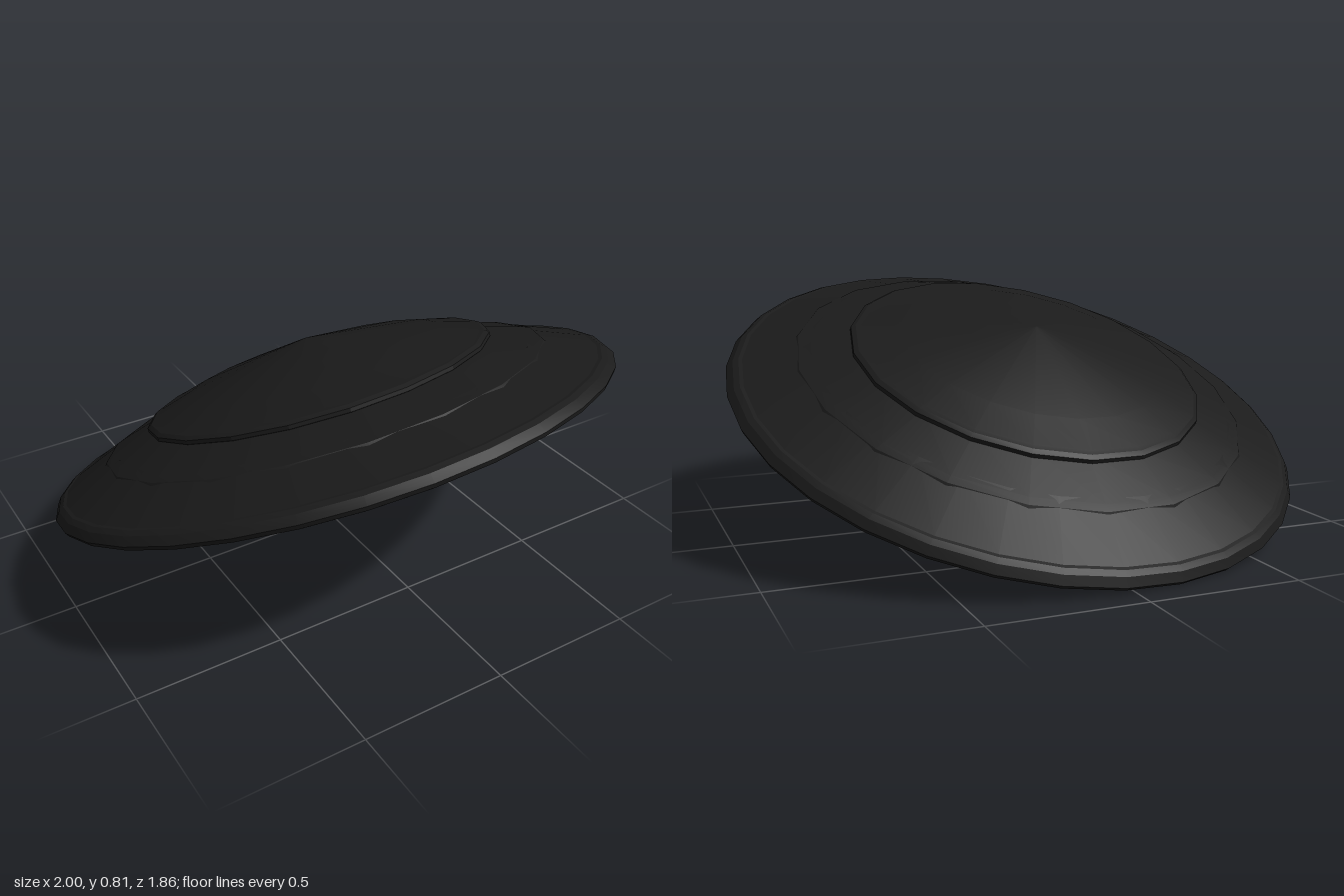
import * as THREE from 'three';
import { toCreasedNormals } from 'three/addons/utils/BufferGeometryUtils.js';

const ironBlack = new THREE.MeshStandardMaterial({ color: 0x1b1b1b });
ironBlack.name = 'ironBlack';

function addMesh(parent, name, geometry, crease = 0.3) {
  const mesh = new THREE.Mesh(toCreasedNormals(geometry, crease), ironBlack);
  mesh.name = name;
  parent.add(mesh);
}

// Turned part around the shield axis; profile is [radius, height]
function turned(profile, sides) {
  return new THREE.LatheGeometry(profile.map(([r, h]) => new THREE.Vector2(r, h)), sides);
}

// Bar along z with a chamfered box section; stations are [z, height, halfWidth, halfThickness]
function bar(stations) {
  const section = [[1, -0.5], [1, 0.5], [0.75, 1], [-0.75, 1], [-1, 0.5], [-1, -0.5], [-0.75, -1], [0.75, -1]];
  const n = section.length;
  const positions = [];
  const index = [];
  for (const [z, h, w, t] of stations) {
    for (const [x, y] of section) positions.push(x * w, h + y * t, z);
  }
  for (let i = 0; i < stations.length - 1; i++) {
    for (let j = 0; j < n; j++) {
      const a = i * n + j;
      const b = i * n + (j + 1) % n;
      index.push(a, b, b + n, a, b + n, a + n);
    }
  }
  const last = (stations.length - 1) * n;
  for (let j = 1; j < n - 1; j++) {
    index.push(0, j + 1, j, last, last + j, last + j + 1);
  }
  const geometry = new THREE.BufferGeometry();
  geometry.setAttribute('position', new THREE.Float32BufferAttribute(positions, 3));
  geometry.setIndex(index);
  return geometry;
}

export function createModel() {
  const model = new THREE.Group();
  model.name = 'roundShield';
  const shield = new THREE.Group();
  shield.name = 'tiltedShield';
  model.add(shield);

  // Outer band with thin rim, and its underside
  addMesh(shield, 'rimBand', turned([
    [0.59, 0.081], [0.972, -0.026], [0.995, -0.018], [1.004, -0.003],
    [0.985, 0.023], [0.967, 0.034], [0.955, 0.035], [0.74, 0.122],
  ], 32));

  // Slightly raised middle band and conical centre
  addMesh(shield, 'middleBand', turned([[0.8, 0.09], [0.787, 0.107], [0.76, 0.117], [0.58, 0.174]], 20));
  addMesh(shield, 'centreCone', turned([
    [0.6, 0.155], [0.617, 0.165], [0.617, 0.178], [0.602, 0.188], [0.582, 0.192], [0.46, 0.229], [0, 0.315],
  ], 20));

  // Hollow centre of the inside
  addMesh(shield, 'innerHollow', turned([[0, 0.2], [0.598, 0.086], [0.61, 0.073]], 20));

  // Carrying handle: curved grip with a mirrored arm and foot at each end
  const grip = [];
  for (let i = 0; i <= 8; i++) {
    const s = i / 4 - 1;
    grip.push([s * 0.205, -0.12 + 0.03 * s * s, 0.05 - 0.01 * (1 - s * s), 0.038]);
  }
  addMesh(shield, 'handleGrip', bar(grip), 0.5);

  const arm = [
    [0.18, -0.092, 0.042, 0.03], [0.24, -0.07, 0.036, 0.03], [0.33, -0.028, 0.032, 0.03],
    [0.43, 0.018, 0.045, 0.03], [0.51, 0.047, 0.07, 0.03], [0.57, 0.057, 0.088, 0.03],
    [0.64, 0.052, 0.096, 0.03], [0.69, 0.043, 0.085, 0.03], [0.72, 0.037, 0.055, 0.024],
  ];
  addMesh(shield, 'frontArm', bar(arm), 0.5);
  addMesh(shield, 'backArm', bar(arm.map(([z, ...rest]) => [-z, ...rest]).reverse()), 0.5);

  // Lean the shield back and slightly sideways
  const up = new THREE.Vector3(-0.088, 0.922, -0.378).normalize();
  const forward = new THREE.Vector3(0, 0, 1).addScaledVector(up, -up.z).normalize();
  const side = new THREE.Vector3().crossVectors(up, forward);
  shield.quaternion.setFromRotationMatrix(new THREE.Matrix4().makeBasis(side, up, forward));
  shield.position.y = 0.401;
  return model;
}
